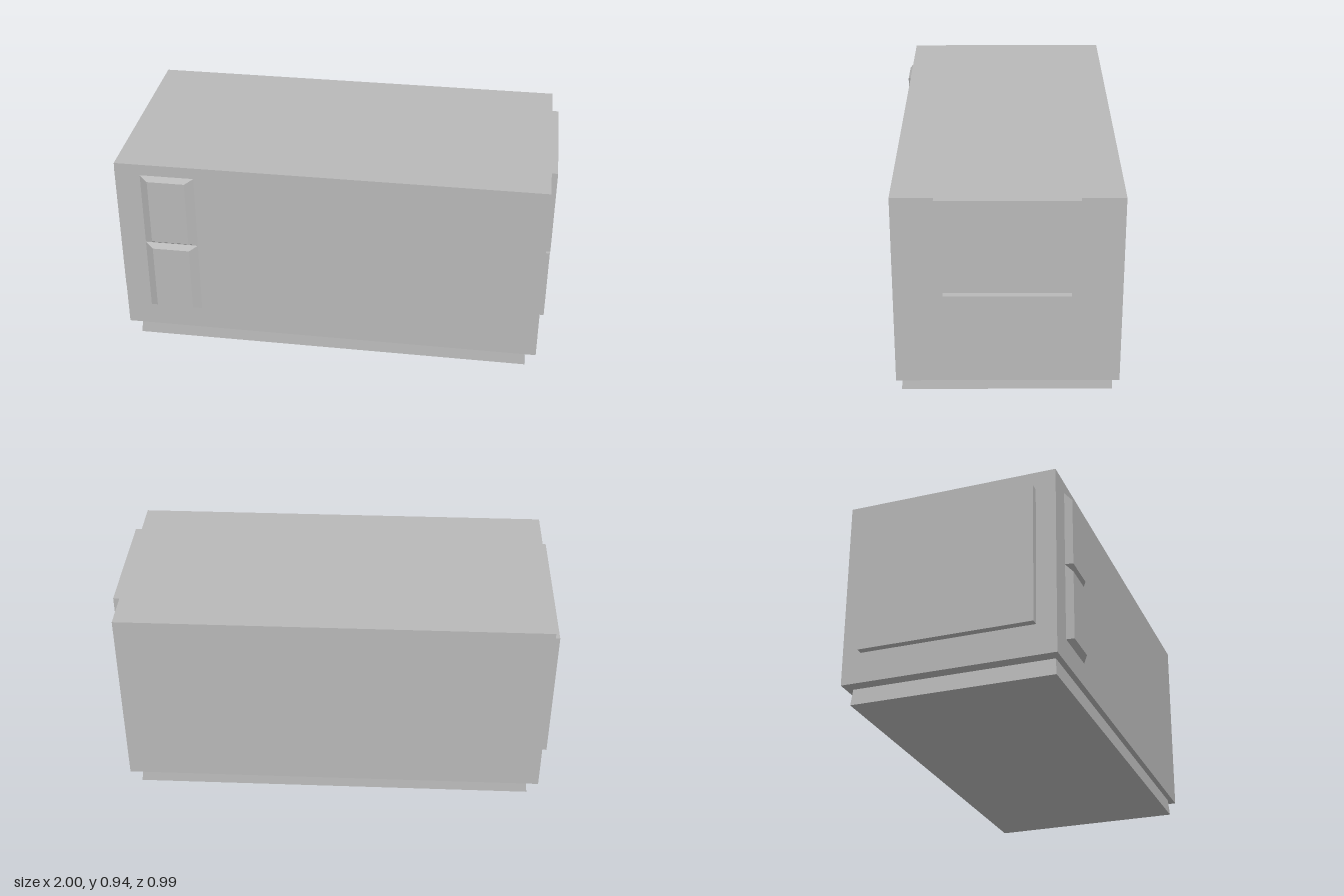
import * as THREE from 'three';

const grey = new THREE.MeshStandardMaterial({ color: 0xb8b8b8 });
grey.name = 'wall grey';

// Box given by its min and max corners
function box(name, [x0, y0, z0], [x1, y1, z1]) {
  const mesh = new THREE.Mesh(new THREE.BoxGeometry(x1 - x0, y1 - y0, z1 - z0), grey);
  mesh.position.set((x0 + x1) / 2, (y0 + y1) / 2, (z0 + z1) / 2);
  mesh.name = name;
  return mesh;
}

// Move a box's corners by a rule, then refresh its face normals
function reshape(mesh, rule) {
  const p = mesh.geometry.attributes.position;
  for (let i = 0; i < p.count; i++) {
    const v = new THREE.Vector3().fromBufferAttribute(p, i);
    rule(v);
    p.setXYZ(i, v.x, v.y, v.z);
  }
  mesh.geometry.computeVertexNormals();
  return mesh;
}

// Front window bay: its outer face is inset to give bevelled sides
function frontBay(name, y0, y1) {
  const insetX = 0.045, insetY = 0.022;
  return reshape(box(name, [-0.86, y0, 0.465], [-0.6, y1, 0.495]), (v) => {
    if (v.z > 0) {
      v.x -= Math.sign(v.x) * insetX;
      v.y -= Math.sign(v.y) * insetY;
    }
  });
}

export function createModel() {
  const model = new THREE.Group();
  model.name = 'building';

  // Plinth, slightly narrower at the top
  const plinth = reshape(box('plinth', [-0.92, 0, -0.47], [0.92, 0.076, 0.45]), (v) => {
    if (v.y > 0) {
      v.x *= 0.99;
      v.z *= 0.988;
    }
  });

  model.add(
    plinth,
    box('mainBlock', [-0.967, 0.075, -0.495], [0.967, 0.945, 0.47]),
    // Raised panels on the two ends
    box('leftUpperPanel', [0.96, 0.535, -0.31], [0.995, 0.945, 0.29]),
    box('leftLowerPanel', [0.96, 0.155, -0.28], [0.995, 0.505, 0.26]),
    box('rightPanel', [-1, 0.215, -0.41], [-0.96, 0.86, 0.38]),
    // Two stacked bays on the front
    frontBay('upperBay', 0.535, 0.895),
    frontBay('lowerBay', 0.18, 0.54),
  );
  return model;
}
